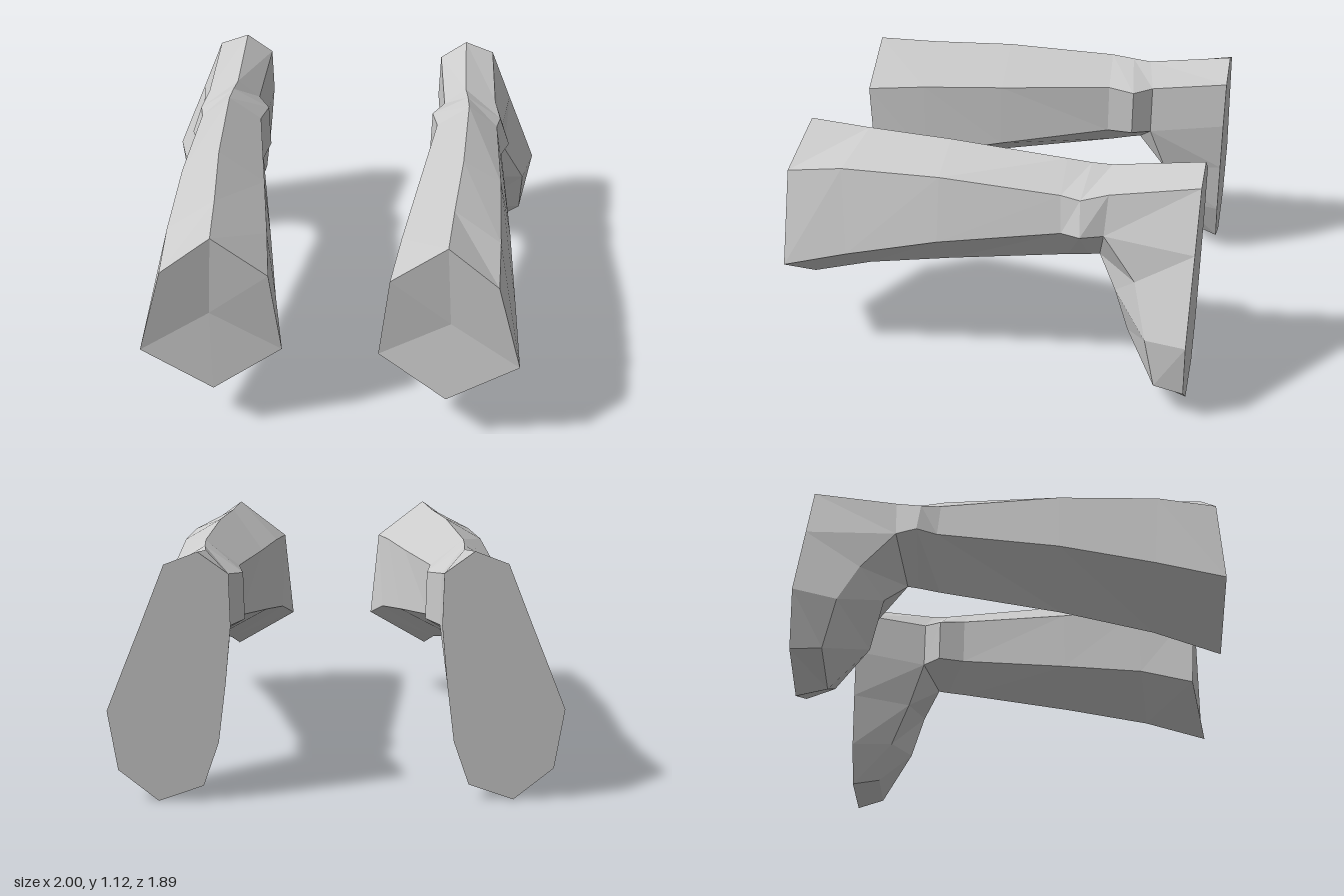
import * as THREE from 'three';

// Barrel cross-sections, front to back: top, inner top, inner bottom, bottom, outer bottom, outer top
const barrelRings = [
  [[.51, 1.10, .89], [.265, .91, .89], [.22, .47, .86], [.535, .275, .93], [.855, .50, .945], [.735, .935, .935]],
  [[.535, 1.095, .6], [.305, .93, .6], [.275, .56, .6], [.56, .38, .63], [.84, .59, .64], [.745, .98, .67]],
  [[.575, 1.10, .2], [.365, .94, .2], [.345, .63, .2], [.59, .48, .21], [.82, .70, .21], [.755, .995, .21]],
  [[.605, 1.08, -.34], [.45, .96, -.35], [.445, .72, -.35], [.61, .59, -.35], [.785, .80, -.35], [.75, .97, -.34]],
  [[.60, 1.07, -.45], [.425, .95, -.48], [.42, .73, -.48], [.62, .61, -.45], [.825, .81, -.44], [.77, .965, -.43]],
];

// Front rim of the foot, from the top down the inner side and up the outer side
const rim = [
  [.59, 1.065, -.54], [.485, .96, -.57], [.48, .72, -.57], [.52, .50, -.65], [.55, .29, -.74], [.62, .11, -.81],
  [.77, .045, -.81], [.94, .165, -.81], [.94, .40, -.76], [.825, .62, -.69], [.785, .81, -.54], [.745, .995, -.55],
];

// Outline of the flat back face, matched point for point with the rim
const BACK = -.945;
const back = [
  [.59, 1.125], [.46, 1.03], [.455, .80], [.48, .55], [.515, .28], [.585, .08],
  [.785, .01], [.96, .155], [1, .425], [.92, .62], [.845, .80], [.735, 1.07],
].map(([x, y]) => [x, y, BACK]);

// Ridge down the front of the foot
const throat = [.62, .62, -.5], ridgeHigh = [.72, .50, -.59], ridgeLow = [.685, .27, -.65];

// Collects polygons (counter-clockwise from outside), mirrored when side is -1
function makeMesh(name, polygons, side) {
  const pos = [];
  for (const p of polygons) {
    for (let i = 1; i < p.length - 1; i++) {
      const tri = side > 0 ? [p[0], p[i], p[i + 1]] : [p[0], p[i + 1], p[i]];
      for (const [x, y, z] of tri) pos.push(x * side, y, z);
    }
  }
  const geometry = new THREE.BufferGeometry();
  geometry.setAttribute('position', new THREE.Float32BufferAttribute(pos, 3));
  geometry.computeVertexNormals();
  const mesh = new THREE.Mesh(geometry, new THREE.MeshStandardMaterial({ color: 0xcccccc, flatShading: true }));
  mesh.name = name;
  return mesh;
}

// Quads between two matching closed rings, a in front of b
function loft(a, b) {
  return a.map((p, i) => {
    const j = (i + 1) % a.length;
    return [p, b[i], b[j], a[j]];
  });
}

// Triangles from a closed ring to a centre point
function fan(ring, centre) {
  return ring.map((p, i) => [centre, p, ring[(i + 1) % ring.length]]);
}

function makeLimb(name, side) {
  const limb = new THREE.Group();
  limb.name = name;

  // Barrel ending at the throat, with a slightly sunken front end
  const rings = [...barrelRings, [rim[0], rim[1], rim[2], throat, rim[10], rim[11]]];
  const barrel = fan(rings[0], [.54, .68, .88]);
  for (let i = 0; i < rings.length - 1; i++) barrel.push(...loft(rings[i], rings[i + 1]));
  limb.add(makeMesh('barrel', barrel, side));

  // Foot: sides, flat back and the ridged front below the throat
  const foot = [
    ...loft(rim, back),
    ...fan([...back].reverse(), [.70, .58, BACK]),
    [throat, rim[2], rim[3], ridgeHigh],
    [ridgeHigh, rim[3], rim[4], ridgeLow],
    [ridgeLow, rim[4], rim[5]],
    [ridgeLow, rim[5], rim[6]],
    [ridgeLow, rim[6], rim[7]],
    [ridgeLow, rim[7], rim[8]],
    [ridgeHigh, ridgeLow, rim[8], rim[9]],
    [throat, ridgeHigh, rim[9], rim[10]],
  ];
  limb.add(makeMesh('foot', foot, side));
  return limb;
}

export function createModel() {
  const model = new THREE.Group();
  model.name = 'limbPair';
  model.add(makeLimb('leftLimb', 1), makeLimb('rightLimb', -1));
  return model;
}
